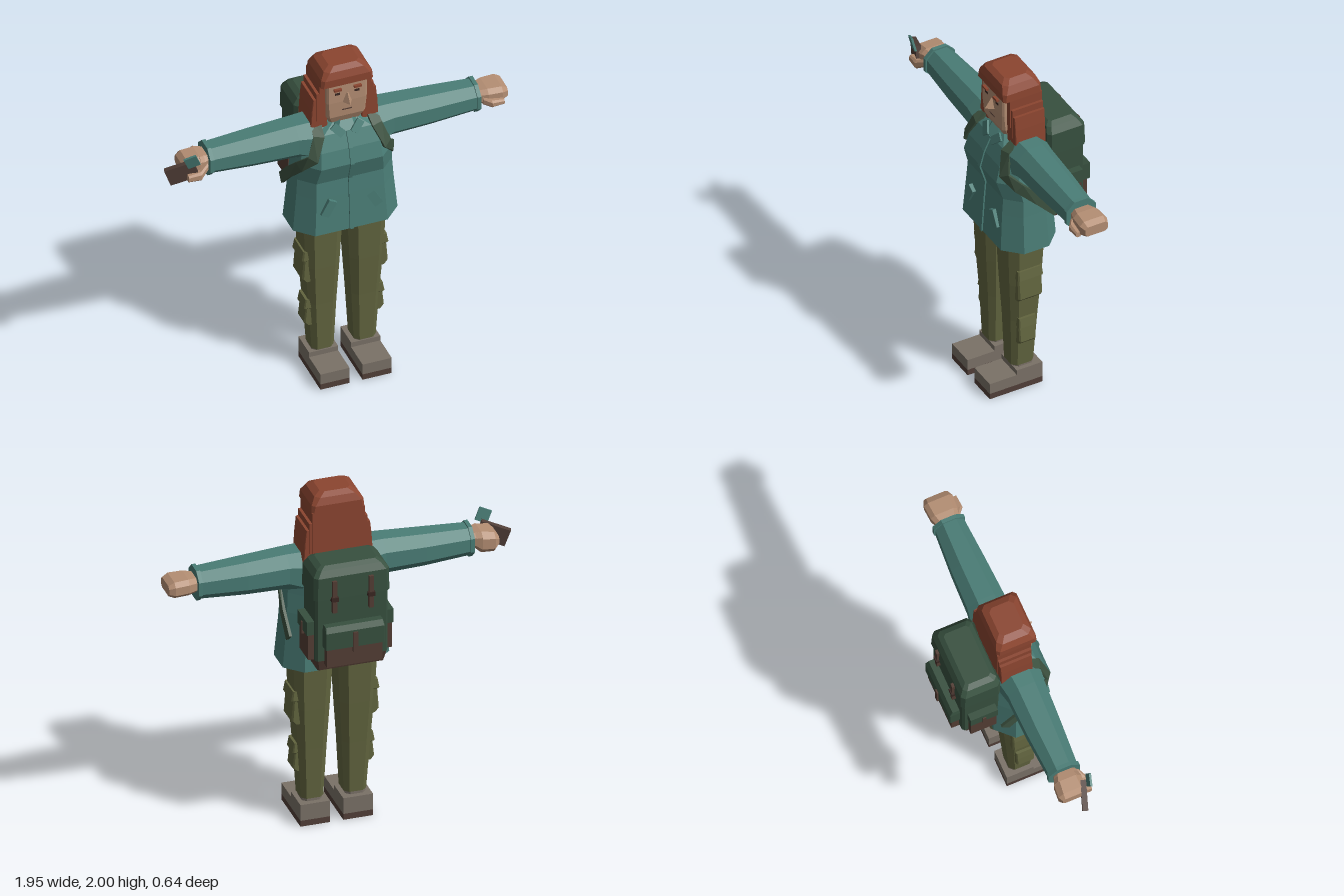
import * as THREE from 'three';

const paint = (name, color) => { const m = new THREE.MeshStandardMaterial({ color }); m.name = name; return m; };

// Faceted skin over matching cross-sections, ordered along their path
function loft(rings, caps = true) {
  const out = [], n = rings[0].length;
  const tri = (a, b, c) => out.push(...a, ...b, ...c);
  for (let i = 0; i < rings.length - 1; i++) {
    for (let j = 0; j < n; j++) {
      const k = (j + 1) % n, p = rings[i], q = rings[i + 1];
      tri(p[j], p[k], q[k]);
      tri(p[j], q[k], q[j]);
    }
  }
  if (caps) {
    const a = rings[0], b = rings[rings.length - 1];
    for (let j = 1; j < n - 1; j++) { tri(a[0], a[j + 1], a[j]); tri(b[0], b[j], b[j + 1]); }
  }
  const g = new THREE.BufferGeometry();
  g.setAttribute('position', new THREE.Float32BufferAttribute(out, 3));
  g.computeVertexNormals();
  return g;
}

// Eight-sided cross-section with cut corners
function ring(y, x0, x1, z0, z1, k = 0.4) {
  const c = k * Math.min(x1 - x0, z1 - z0) / 2;
  return [[x1, y, z1 - c], [x1, y, z0 + c], [x1 - c, y, z0], [x0 + c, y, z0],
    [x0, y, z0 + c], [x0, y, z1 - c], [x0 + c, y, z1], [x1 - c, y, z1]];
}

// Loft along x: each row is [x, y0, y1, z0, z1]
const limb = (rows, k) => loft(rows.map(([x, y0, y1, z0, z1]) => ring(x, -y1, -y0, z0, z1, k))).rotateZ(-Math.PI / 2);

const block = (x0, x1, y0, y1, z0, z1) =>
  new THREE.BoxGeometry(x1 - x0, y1 - y0, z1 - z0).translate((x0 + x1) / 2, (y0 + y1) / 2, (z0 + z1) / 2);

// Flat band: each row is a point and its outward normal
function ribbon(rows, width, thick) {
  const V = (a, i) => new THREE.Vector3(a[i], a[i + 1], a[i + 2]);
  return loft(rows.map((r, i) => {
    const t = V(rows[Math.min(i + 1, rows.length - 1)], 0).sub(V(rows[Math.max(i - 1, 0)], 0)).normalize();
    const s = t.clone().cross(V(r, 3)).normalize(), n = s.clone().cross(t);
    return [[1, 1], [1, -1], [-1, -1], [-1, 1]].map(([a, b]) =>
      V(r, 0).addScaledVector(s, a * width / 2).addScaledVector(n, b * thick / 2).toArray());
  }));
}

// Copy reflected in x, with the corner order turned round
function mirrored(geo) {
  const g = geo.index ? geo.toNonIndexed() : geo.clone();
  const p = g.attributes.position, v = [];
  for (let i = 0; i < p.count; i += 3) for (const j of [i, i + 2, i + 1]) v.push(-p.getX(j), p.getY(j), p.getZ(j));
  const m = new THREE.BufferGeometry();
  m.setAttribute('position', new THREE.Float32BufferAttribute(v, 3));
  m.computeVertexNormals();
  return m;
}

export function createModel() {
  const teal = paint('jacketTeal', 0x4a7d76), olive = paint('trouserOlive', 0x62653f);
  const rust = paint('hairRust', 0x8b4530), skin = paint('skin', 0xb48e73);
  const grey = paint('bootGrey', 0x7a7167), sole = paint('soleBrown', 0x513f38);
  const green = paint('packGreen', 0x37503f), brown = paint('packBrown', 0x533d34);
  const moss = paint('strapGreen', 0x3d5240), dark = paint('darkDetail', 0x3a2722);
  teal.side = THREE.DoubleSide;

  const model = new THREE.Group();
  const body = new THREE.Group();
  body.name = 'hiker';
  body.position.x = 0.0425;
  model.add(body);
  const add = (name, geo, mat) => {
    const m = new THREE.Mesh(geo, mat);
    m.name = name;
    body.add(m);
    return m;
  };
  const pair = (name, geo, mat) => { add(name + 'Left', geo, mat); add(name + 'Right', mirrored(geo), mat); };

  // Boots
  pair('sole', block(0.037, 0.203, 0, 0.035, 0, 0.32), sole);
  pair('bootToe', block(0.037, 0.203, 0.035, 0.1, 0.1, 0.32), grey);
  pair('bootHeel', block(0.037, 0.203, 0.035, 0.13, 0, 0.155), grey);
  pair('bootCuff', loft([ring(0.12, 0.065, 0.178, 0.03, 0.15), ring(0.17, 0.065, 0.178, 0.03, 0.15)]), grey);

  // Trousers with thigh and shin pockets
  pair('trouserLeg', loft([ring(0.145, 0.057, 0.183, 0.03, 0.165), ring(0.45, 0.042, 0.203, 0.012, 0.175),
    ring(0.7, 0.028, 0.222, -0.005, 0.19), ring(1.05, 0.01, 0.238, -0.025, 0.205)]), olive);
  const pocket = (y0, y1, out, z0, z1) => loft([ring(y0, 0.15, out - 0.018, z0, z1, 0.2),
    ring(y0 + 0.02, 0.15, out, z0, z1, 0.2), ring(y1 - 0.06, 0.16, out - 0.01, z0, z1, 0.2),
    ring(y1 - 0.055, 0.16, out + 0.002, z0 - 0.004, z1 + 0.004, 0.2), ring(y1, 0.17, out - 0.008, z0, z1, 0.2)]);
  pair('thighPocket', pocket(0.61, 0.81, 0.245, 0.02, 0.165), olive);
  pair('shinPocket', pocket(0.31, 0.48, 0.228, 0.05, 0.15), olive);

  // Jacket
  const torso = [[0.975, 0.298, -0.08, 0.255], [1.2, 0.277, -0.065, 0.24], [1.3, 0.27, -0.055, 0.232],
    [1.41, 0.262, -0.05, 0.265], [1.5, 0.245, -0.045, 0.24], [1.585, 0.2, -0.035, 0.2], [1.635, 0.1, 0, 0.15]];
  add('jacket', loft(torso.map(([y, w, z0, z1]) => ring(y, -w, w, z0, z1, 0.55)), false), teal);
  add('zipFlap', ribbon(torso.slice(0, 6).map(([y, , , z]) => [0, y, z + 0.003, 0, 0, 1]), 0.022, 0.012), teal);
  pair('jacketPocket', new THREE.BoxGeometry(0.05, 0.1, 0.03).rotateZ(0.5).translate(0.13, 1.14, 0.247), teal);
  pair('sleeve', limb([[0.1, 1.46, 1.635, 0, 0.17], [0.19, 1.4, 1.645, -0.035, 0.2], [0.27, 1.435, 1.643, -0.022, 0.19],
    [0.5, 1.44, 1.63, -0.015, 0.18], [0.765, 1.455, 1.615, 0.002, 0.165]], 0.55), teal);
  pair('cuff', limb([[0.75, 1.447, 1.625, -0.006, 0.174], [0.772, 1.447, 1.625, -0.006, 0.174]], 0.55), teal);
  add('collar', new THREE.CylinderGeometry(0.085, 0.125, 0.085, 10, 1, true, 0.4, Math.PI * 2 - 0.8)
    .toNonIndexed().translate(0, 1.61, 0.09), teal).geometry.computeVertexNormals();
  pair('lapel', ribbon([[0.03, 1.575, 0.212, 0, 0.3, 1], [0.08, 1.625, 0.185, 0, 0.3, 1]], 0.045, 0.012), teal);

  // Hands
  pair('palm', limb([[0.755, 1.5, 1.58, 0.03, 0.14], [0.82, 1.495, 1.59, 0.005, 0.16]], 0.5), skin);
  add('fingersLeft', limb([[0.82, 1.495, 1.59, 0.005, 0.16], [0.9, 1.495, 1.588, 0, 0.165],
    [0.933, 1.51, 1.57, 0.012, 0.15]], 0.5), skin);
  add('thumbLeft', limb([[0.79, 1.505, 1.55, 0.12, 0.16], [0.83, 1.495, 1.54, 0.145, 0.192],
    [0.9, 1.5, 1.53, 0.155, 0.188]], 0.5), skin);
  add('fistRight', limb([[-0.915, 1.5, 1.555, 0.015, 0.14], [-0.89, 1.465, 1.58, 0, 0.16],
    [-0.82, 1.465, 1.59, 0.005, 0.16], [-0.78, 1.5, 1.585, 0.02, 0.15]], 0.5), skin);
  add('thumbRight', limb([[-0.9, 1.475, 1.515, 0.155, 0.19], [-0.83, 1.47, 1.525, 0.145, 0.195],
    [-0.78, 1.505, 1.55, 0.12, 0.165]], 0.5), skin);

  // Small handheld device with a raised lid
  const device = add('device', new THREE.BoxGeometry(0.165, 0.1, 0.03), sole);
  device.position.set(-0.92, 1.515, 0.135);
  device.rotation.set(0, -0.33, 0.35);
  const lid = add('deviceLid', new THREE.BoxGeometry(0.07, 0.075, 0.012), teal);
  lid.position.set(-0.88, 1.605, 0.18);
  lid.rotation.set(0.2, -0.2, 0.42);

  // Head
  add('neck', new THREE.CylinderGeometry(0.06, 0.065, 0.16, 8).translate(0, 1.6, 0.09), skin);
  add('head', loft([ring(1.635, -0.09, 0.09, 0.03, 0.165, 0.2), ring(1.68, -0.11, 0.11, 0, 0.185, 0.15),
    ring(1.78, -0.115, 0.115, 0, 0.192, 0.1), ring(1.95, -0.115, 0.115, 0, 0.192, 0.1)]), skin);
  add('nose', loft([[[0.03, 1.775, 0.185], [0, 1.775, 0.184], [-0.03, 1.775, 0.185], [0, 1.78, 0.236]],
    [[0.008, 1.835, 0.188], [0, 1.835, 0.187], [-0.008, 1.835, 0.188], [0, 1.835, 0.198]]]), skin);
  pair('brow', block(0.035, 0.078, 1.862, 1.874, 0.19, 0.208), rust);
  pair('eye', block(0.042, 0.07, 1.83, 1.843, 0.19, 0.195), dark);
  add('mouth', block(-0.028, 0.028, 1.722, 1.727, 0.185, 0.192), brown);

  // Hair: crown, back and stepped side locks
  add('hairCrown', loft([ring(1.895, -0.148, 0.148, -0.03, 0.2, 0.1), ring(1.94, -0.145, 0.145, -0.03, 0.2, 0.15),
    ring(1.98, -0.122, 0.122, -0.015, 0.185, 0.25), ring(2, -0.085, 0.085, 0.015, 0.155, 0.3)]), rust);
  add('hairBack', block(-0.147, 0.147, 1.6, 1.9, -0.03, 0.01), rust);
  pair('sideLock', block(0.113, 0.147, 1.72, 1.9, -0.029, 0.165), rust);
  pair('middleLock', block(0.105, 0.163, 1.66, 1.84, -0.028, 0.16), rust);
  pair('outerLock', loft([ring(1.595, 0.097, 0.195, -0.027, 0.155, 0.08), ring(1.72, 0.1, 0.187, -0.027, 0.155, 0.08),
    ring(1.8, 0.12, 0.178, -0.027, 0.155, 0.08)]), rust);

  // Backpack
  add('packBase', loft([ring(1.065, -0.185, 0.185, -0.235, -0.06, 0.1), ring(1.13, -0.2, 0.2, -0.253, -0.045, 0.12)]), brown);
  add('packBody', loft([ring(1.13, -0.202, 0.202, -0.255, -0.042, 0.12), ring(1.51, -0.202, 0.202, -0.255, -0.042, 0.12)]), green);
  add('packLid', loft([ring(1.5, -0.212, 0.212, -0.265, -0.035, 0.15), ring(1.63, -0.21, 0.21, -0.262, -0.035, 0.18),
    ring(1.665, -0.185, 0.185, -0.24, -0.045, 0.2), ring(1.682, -0.155, 0.155, -0.215, -0.07, 0.2)]), green);
  pair('lidStrap', block(0.09, 0.115, 1.42, 1.61, -0.278, -0.25), brown);
  pair('lidBuckle', block(0.083, 0.122, 1.49, 1.515, -0.284, -0.25), dark);
  add('backPocket', block(-0.155, 0.155, 1.11, 1.225, -0.3, -0.25), brown);
  add('backPocketFlap', loft([ring(1.22, -0.165, 0.165, -0.313, -0.25, 0.1), ring(1.32, -0.165, 0.165, -0.313, -0.25, 0.1),
    ring(1.35, -0.16, 0.16, -0.295, -0.25, 0.1)]), green);
  add('backPocketStrap', block(-0.013, 0.013, 1.19, 1.31, -0.322, -0.3), brown);
  pair('sidePocket', block(0.19, 0.234, 1.13, 1.285, -0.222, -0.073), brown);
  pair('sidePocketFlap', block(0.19, 0.243, 1.28, 1.36, -0.226, -0.069), green);
  pair('sidePocketStrap', block(0.23, 0.249, 1.26, 1.33, -0.157, -0.139), brown);

  // Shoulder straps
  pair('shoulderStrap', ribbon([[0.14, 1.6, -0.045, 0, 0.4, -1], [0.15, 1.645, 0, 0, 1, -0.4], [0.155, 1.65, 0.1, 0.1, 1, 0.2],
    [0.165, 1.585, 0.2, 0.2, 0.7, 1], [0.21, 1.47, 0.235, 0.6, 0.2, 1], [0.264, 1.4, 0.175, 1, 0, 0.5],
    [0.282, 1.29, 0.06, 1, 0, 0], [0.282, 1.18, -0.045, 1, 0, -0.1]], 0.06, 0.016), moss);

  return model;
}
